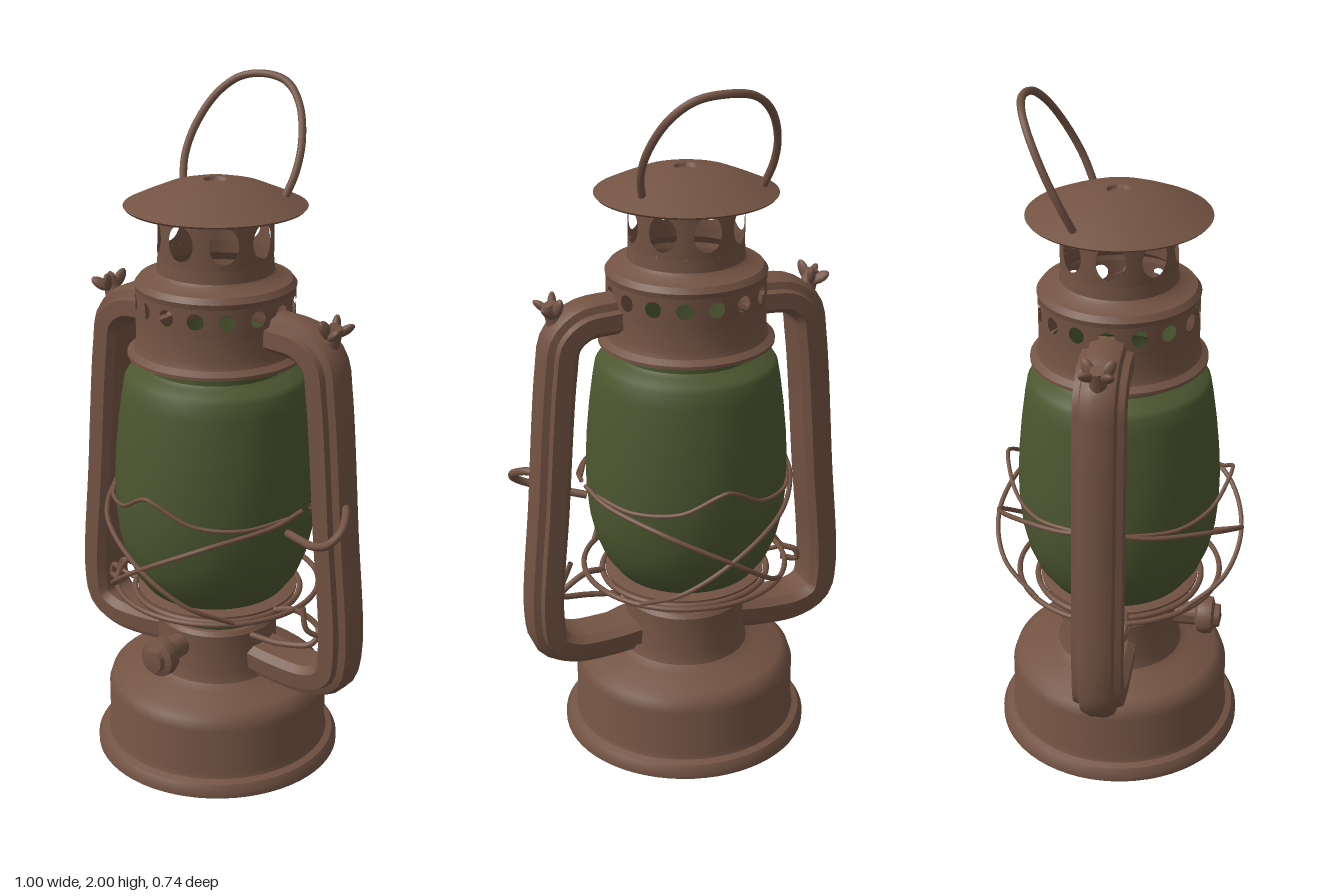
import * as THREE from 'three';
import { mergeGeometries, toCreasedNormals } from 'three/addons/utils/BufferGeometryUtils.js';

const metal = new THREE.MeshStandardMaterial({ color: 0x735343, side: THREE.DoubleSide });
metal.name = 'rusty brown metal';
const glass = new THREE.MeshStandardMaterial({ color: 0x4c5730, side: THREE.DoubleSide });
glass.name = 'green glass';

const V = (p) => new THREE.Vector3(...p);

function add(parent, name, geometry, material = metal) {
  const mesh = new THREE.Mesh(geometry, material);
  mesh.name = name;
  parent.add(mesh);
  return mesh;
}

// Turned part from [radius, height] points, listed from the bottom up
function turned(points, crease = 0.6) {
  const g = new THREE.LatheGeometry(points.map((p) => new THREE.Vector2(...p)), 64);
  return toCreasedNormals(g, crease);
}

// Bent wire through points
function wire(points, radius = 0.008, closed = false) {
  const curve = new THREE.CatmullRomCurve3(points.map(V), closed, 'centripetal');
  return new THREE.TubeGeometry(curve, points.length * 8, radius, 8, closed);
}

// Cylinder wall with a row of oval holes: one cell is a ring stretched to a rectangle, then bent
function piercedWall(radius, y0, y1, count, holeW, holeH) {
  const cells = [];
  const halfAngle = Math.PI / count, mid = (y0 + y1) / 2;
  for (let i = 0; i < count; i++) {
    const g = new THREE.RingGeometry(0.5, 1, 32, 4);
    const pos = g.attributes.position;
    for (let k = 0; k < pos.count; k++) {
      const x = pos.getX(k), y = pos.getY(k), len = Math.hypot(x, y);
      const c = x / len, s = y / len, u = len * 2 - 1;
      const m = Math.max(Math.abs(c), Math.abs(s));
      const px = THREE.MathUtils.lerp((c * holeW) / 2, (c / m) * halfAngle * radius, u);
      const py = THREE.MathUtils.lerp((s * holeH) / 2, ((s / m) * (y1 - y0)) / 2, u);
      const a = px / radius + i * halfAngle * 2;
      pos.setXYZ(k, Math.sin(a) * radius, mid + py, Math.cos(a) * radius);
    }
    cells.push(g);
  }
  return toCreasedNormals(mergeGeometries(cells), 0.8);
}

// Ribbed side tube: a stepped section swept along a curve in the xy plane
function sideTube() {
  const half = [[0.053, 0.022], [0.042, 0.046], [0.022, 0.052], [0.016, 0.07], [-0.03, 0.072], [-0.048, 0.05]];
  const section = [...half, ...half.map(([n, z]) => [n, -z]).reverse()];
  const path = new THREE.CatmullRomCurve3([
    [0.13, 0.335, 0], [0.25, 0.322, 0], [0.36, 0.325, 0], [0.425, 0.36, 0], [0.442, 0.44, 0], [0.416, 0.8, 0],
    [0.383, 1.2, 0], [0.366, 1.29, 0], [0.31, 1.338, 0], [0.205, 1.35, 0],
  ].map(V), false, 'centripetal');
  const steps = 60, M = section.length, pos = [], index = [];
  for (let i = 0; i <= steps; i++) {
    const p = path.getPointAt(i / steps), t = path.getTangentAt(i / steps);
    for (const [n, z] of section) pos.push(p.x + t.y * n, p.y - t.x * n, z);
    if (i === steps) break;
    for (let j = 0; j < M; j++) {
      const a = i * M + j, b = i * M + ((j + 1) % M);
      index.push(a, a + M, b, b, a + M, b + M);
    }
  }
  const g = new THREE.BufferGeometry();
  g.setAttribute('position', new THREE.Float32BufferAttribute(pos, 3));
  g.setIndex(index);
  return toCreasedNormals(g, 0.5);
}

// Winged clip on the shoulder of a side tube
function shoulderClip() {
  const clip = new THREE.Group();
  clip.name = 'shoulderClip';
  const post = add(clip, 'clipPost', new THREE.CylinderGeometry(0.02, 0.028, 0.07, 12));
  post.position.y = -0.01;
  for (const sx of [-1, 1]) for (const sz of [-1, 1]) {
    const wing = add(clip, 'clipWing', new THREE.SphereGeometry(1, 12, 8));
    wing.scale.set(0.012, 0.032, 0.018);
    wing.position.set(sx * 0.014, 0.012, sz * 0.026);
    wing.rotation.set(sz * 0.6, 0, -sx * 0.5);
  }
  clip.position.set(0.388, 1.372, 0);
  clip.rotation.z = -0.35;
  return clip;
}

export function createModel() {
  const lantern = new THREE.Group();
  lantern.name = 'oilLantern';

  // Fuel tank and neck
  add(lantern, 'fuelTank', turned([[0, 0], [0.365, 0], [0.365, 0.018], [0.352, 0.038], [0.333, 0.045], [0.328, 0.06],
    [0.328, 0.2], [0.318, 0.23], [0.295, 0.248], [0.215, 0.262], [0.188, 0.278], [0.178, 0.31], [0.175, 0.425],
    [0.165, 0.437], [0.15, 0.44]]));
  add(lantern, 'burnerGlass', turned([[0.152, 0.43], [0.158, 0.45], [0.158, 0.485]]), glass);
  add(lantern, 'burnerPlate', turned([[0.15, 0.478], [0.195, 0.485], [0.21, 0.497], [0.21, 0.507], [0.235, 0.513],
    [0.235, 0.522], [0.2, 0.53], [0, 0.53]]));

  // Wick knob
  const knob = add(lantern, 'wickKnob', turned([[0.034, 0.15], [0.034, 0.235], [0.052, 0.243], [0.058, 0.262],
    [0.055, 0.285], [0.036, 0.292], [0.034, 0.308], [0, 0.313]]));
  knob.rotation.x = Math.PI / 2;
  knob.position.set(-0.008, 0.382, 0);

  // Glass globe
  add(lantern, 'globe', turned([[0.19, 0.515], [0.21, 0.535], [0.243, 0.58], [0.268, 0.64], [0.284, 0.71], [0.292, 0.79],
    [0.293, 0.87], [0.288, 0.96], [0.279, 1.05], [0.268, 1.13], [0.26, 1.175], [0.25, 1.19], [0.21, 1.2],
    [0.198, 1.21], [0.198, 1.28]], 0.8), glass).position.x = -0.006;

  // Pierced chimney and cap
  const chimney = new THREE.Group();
  chimney.name = 'chimney';
  chimney.position.x = -0.006;
  lantern.add(chimney);
  add(chimney, 'hoodSkirt', turned([[0.225, 1.243], [0.25, 1.243], [0.25, 1.252], [0.232, 1.265], [0.225, 1.285], [0.225, 1.365]]));
  add(chimney, 'lowerVentWall', piercedWall(0.225, 1.365, 1.435, 16, 0.047, 0.046));
  add(chimney, 'hoodShoulder', turned([[0.225, 1.435], [0.228, 1.45], [0.216, 1.466], [0.175, 1.478], [0.165, 1.488],
    [0.162, 1.525]]));
  add(chimney, 'upperVentWall', piercedWall(0.162, 1.525, 1.658, 8, 0.082, 0.1));
  add(chimney, 'cap', turned([[0.162, 1.655], [0.175, 1.673], [0.25, 1.664], [0.255, 1.67], [0.2, 1.695], [0.14, 1.72],
    [0.08, 1.735], [0.034, 1.74], [0.029, 1.73], [0, 1.727]]));

  // Side tubes, mirrored by a half turn
  for (const [side, turn] of [['left', 0], ['right', Math.PI]]) {
    const frame = new THREE.Group();
    frame.name = side + 'SideFrame';
    frame.rotation.y = turn;
    add(frame, 'sideTube', sideTube());
    frame.add(shoulderClip());
    lantern.add(frame);
  }

  // Carrying bail, leaning back
  const bail = [[-0.19, 1.68, -0.09], [-0.208, 1.76, -0.125], [-0.2, 1.84, -0.165], [-0.16, 1.925, -0.21], [-0.1, 1.975, -0.24]];
  const bailCentre = -0.018;
  add(lantern, 'bailHandle', wire([...bail, [bailCentre, 1.989, -0.253],
    ...bail.map(([x, y, z]) => [2 * bailCentre - x, y, z]).reverse()], 0.011));

  // Wire guard around the globe, same at front and back
  const circle = (r, y) => Array.from({ length: 16 }, (_, i) => {
    const a = (i * Math.PI) / 8;
    return [Math.sin(a) * r, y, Math.cos(a) * r];
  });
  add(lantern, 'lowerGuardRing', wire(circle(0.3, 0.532), 0.008, true));
  add(lantern, 'innerGuardRing', wire(circle(0.245, 0.512), 0.009, true));
  for (const turn of [0, Math.PI]) {
    const guard = new THREE.Group();
    guard.name = turn ? 'backGuard' : 'frontGuard';
    guard.rotation.y = turn;
    for (const s of [-1, 1]) {
      add(guard, 'crossWire', wire([[s * 0.31, 0.84, 0.02], [s * 0.285, 0.82, 0.12], [s * 0.17, 0.785, 0.295],
        [0, 0.7, 0.362], [-s * 0.13, 0.61, 0.325], [-s * 0.215, 0.535, 0.21]], 0.007));
    }
    add(guard, 'peakWire', wire([[-0.3, 0.83, 0.06], [-0.23, 0.822, 0.2], [-0.12, 0.838, 0.285], [-0.03, 0.892, 0.325],
      [0, 0.903, 0.33], [0.03, 0.892, 0.325], [0.12, 0.838, 0.285], [0.23, 0.822, 0.2], [0.3, 0.83, 0.06]], 0.006));
    lantern.add(guard);
  }

  // Lifting lever loop and lower linkage wires
  add(lantern, 'leverLoop', wire([[0.285, 0.775, 0.05], [0.36, 0.787, 0.09], [0.42, 0.8, 0.122], [0.47, 0.822, 0.13],
    [0.492, 0.855, 0.1], [0.47, 0.888, 0.04], [0.43, 0.89, 0.0]], 0.012));
  add(lantern, 'leftLinkage', wire([[0.17, 0.42, 0.06], [0.28, 0.432, 0.07], [0.375, 0.455, 0.05], [0.375, 0.49, 0.02],
    [0.3, 0.53, 0.03], [0.24, 0.52, 0.05]], 0.009));
  add(lantern, 'leftLink', wire([[0.34, 0.56, 0.05], [0.36, 0.5, 0.06], [0.39, 0.47, 0.03]], 0.008));
  add(lantern, 'rightLinkage', wire([[-0.22, 0.515, 0.05], [-0.31, 0.525, 0.06], [-0.34, 0.49, 0.05], [-0.38, 0.475, 0.03],
    [-0.385, 0.445, 0.03], [-0.34, 0.45, 0.05]], 0.009));
  add(lantern, 'rightLink', wire([[-0.35, 0.485, 0.05], [-0.25, 0.475, 0.06], [-0.16, 0.465, 0.06]], 0.007));

  return lantern;
}
